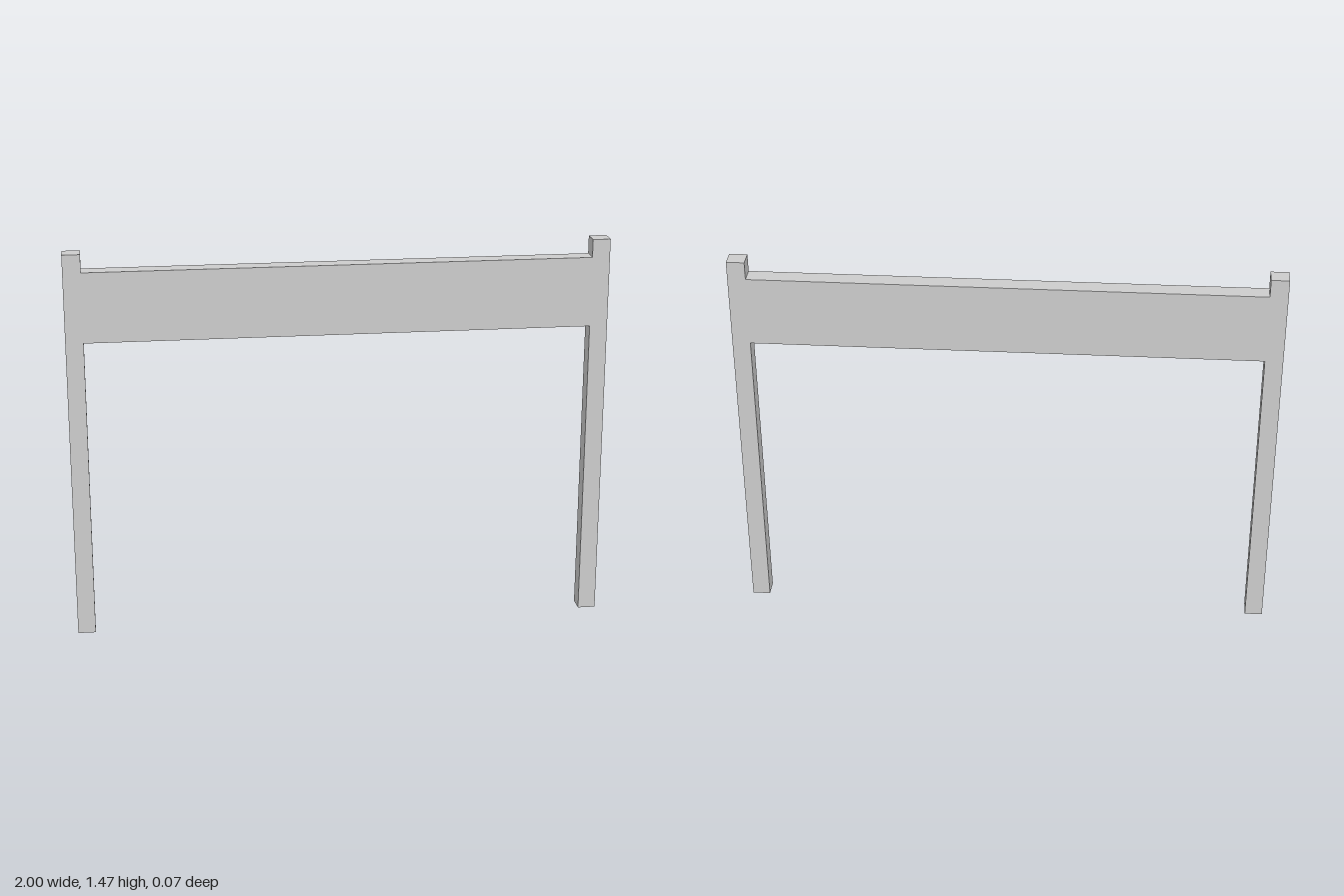
import * as THREE from 'three';

const POST = 0.066; // square post section
const HEIGHT = 1.467;
const BEAM_BOTTOM = 1.138;
const BEAM_TOP = 1.4;

export function createModel() {
  const model = new THREE.Group();
  model.name = 'postAndBeamFrame';
  const material = new THREE.MeshStandardMaterial({ color: 0xcccccc, flatShading: true });

  const addBox = (name, width, bottom, top, x) => {
    const mesh = new THREE.Mesh(new THREE.BoxGeometry(width, top - bottom, POST), material);
    mesh.name = name;
    mesh.position.set(x, (bottom + top) / 2, 0);
    model.add(mesh);
  };

  // Two upright posts
  for (const [name, side] of [['leftPost', 1], ['rightPost', -1]]) {
    addBox(name, POST, 0, HEIGHT, side * (1 - POST / 2));
  }

  // Wide beam fitted flush between the posts
  addBox('crossBeam', 2 - 2 * POST, BEAM_BOTTOM, BEAM_TOP, 0);

  return model;
}
